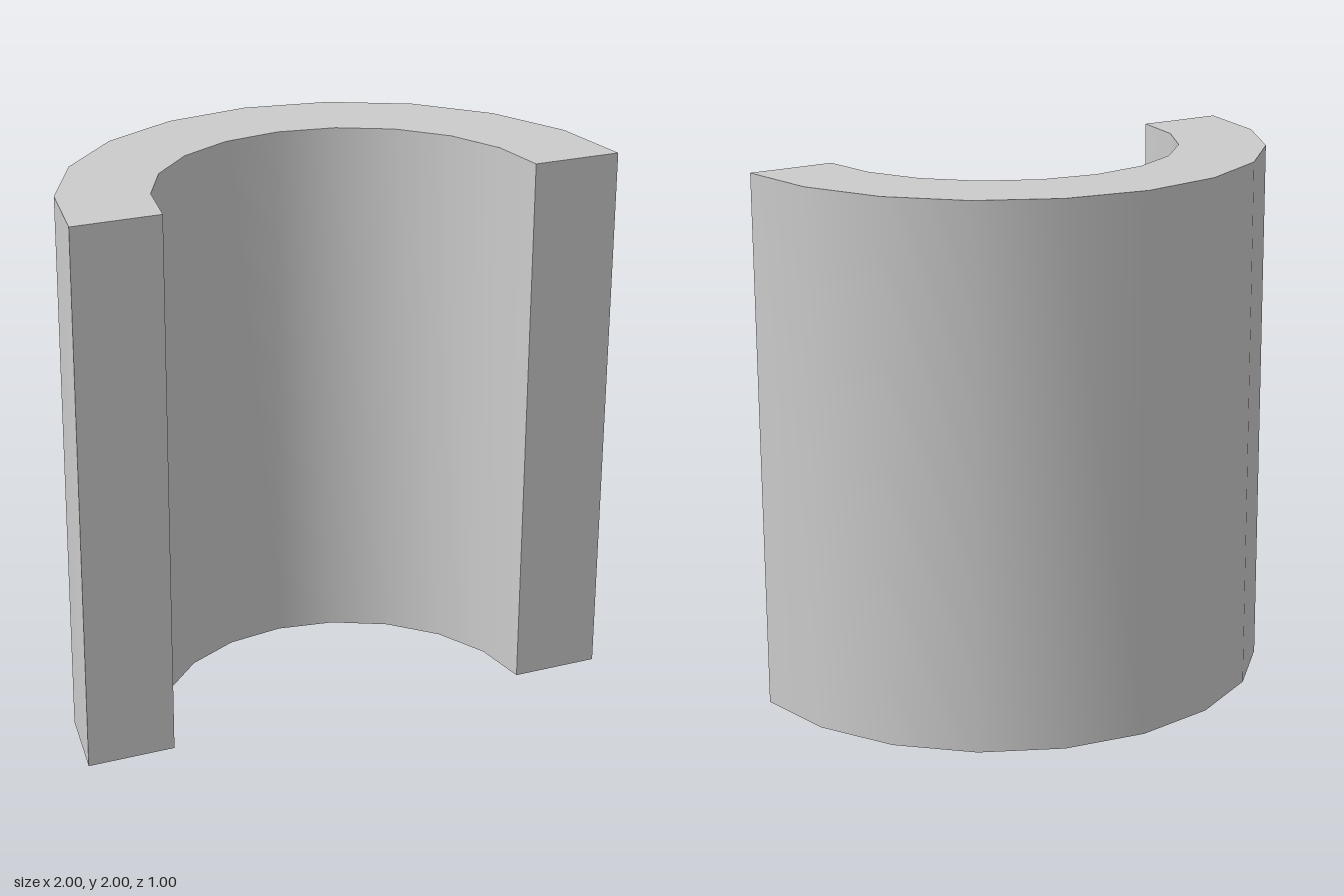
import * as THREE from 'three';
import { toCreasedNormals } from 'three/addons/utils/BufferGeometryUtils.js';

const OUTER = 1, INNER = 0.68, HEIGHT = 2, SEGMENTS = 10;

// Points along a half circle, from +x round to -x
function halfCircle(radius) {
  return Array.from({ length: SEGMENTS + 1 }, (_, i) => {
    const a = (Math.PI * i) / SEGMENTS;
    return new THREE.Vector2(radius * Math.cos(a), radius * Math.sin(a));
  });
}

export function createModel() {
  const group = new THREE.Group();
  group.name = 'halfPipe';

  // Half-ring section, extruded upright with its open side to the front
  const section = new THREE.Shape([...halfCircle(OUTER), ...halfCircle(INNER).reverse()]);
  const extruded = new THREE.ExtrudeGeometry(section, { depth: HEIGHT, bevelEnabled: false });
  extruded.rotateX(-Math.PI / 2);
  extruded.translate(0, 0, OUTER / 2);

  // Smooth curved walls, sharp rims and ends
  const wall = new THREE.Mesh(
    toCreasedNormals(extruded, Math.PI / 6),
    new THREE.MeshStandardMaterial({ color: 0xcccccc })
  );
  wall.name = 'curvedWall';
  group.add(wall);
  return group;
}
